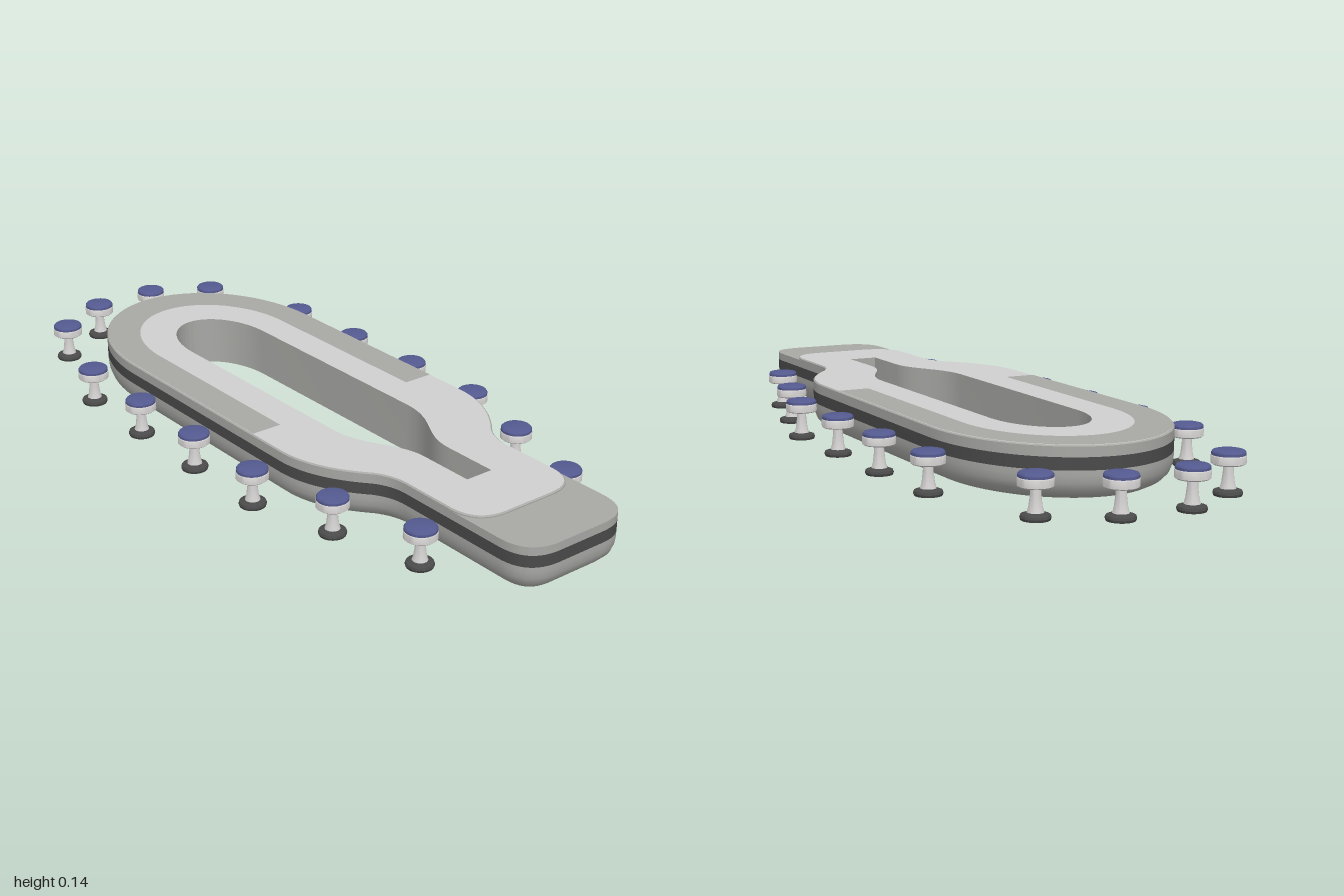
import * as THREE from 'three';
import { toCreasedNormals } from 'three/addons/utils/BufferGeometryUtils.js';

const mat = (name, color) => {
  const m = new THREE.MeshStandardMaterial({ color });
  m.name = name;
  return m;
};

// Mirrors a half outline (x >= 0, front to back) into a closed loop of (x, z) points
function mirrorLoop(path) {
  const half = path.getPoints(16);
  const other = half.slice(1, -1).reverse().map(p => new THREE.Vector2(-p.x, p.y));
  return half.concat(other);
}

// Counter plan: rounded front end, neck, shoulders, long sides, elliptical back
function counterOutline(end) {
  const p = new THREE.Path();
  p.moveTo(0, end);
  p.lineTo(0.07, end);
  p.quadraticCurveTo(0.17, end, 0.17, end - 0.1);
  p.lineTo(0.17, 0.58);
  p.quadraticCurveTo(0.17, 0.53, 0.2, 0.49);
  p.bezierCurveTo(0.265, 0.42, 0.305, 0.34, 0.305, 0.25);
  p.lineTo(0.305, -0.43);
  p.absellipse(0, -0.43, 0.305, 0.39, 0, -Math.PI / 2, true);
  return mirrorLoop(p);
}

// Keyhole-shaped opening in the middle
function holeOutline() {
  const p = new THREE.Path();
  p.moveTo(0, 0.655);
  p.lineTo(0.04, 0.655);
  p.lineTo(0.04, 0.5);
  p.bezierCurveTo(0.04, 0.4, 0.125, 0.36, 0.125, 0.24);
  p.lineTo(0.125, -0.4);
  p.absellipse(0, -0.4, 0.125, 0.19, 0, -Math.PI / 2, true);
  return mirrorLoop(p);
}

// Moves a loop inward along its normals
function inset(loop, d) {
  const n = loop.length;
  return loop.map((p, i) => {
    const a = p.clone().sub(loop[(i + n - 1) % n]).normalize();
    const b = loop[(i + 1) % n].clone().sub(p).normalize();
    const t = a.add(b).normalize();
    return new THREE.Vector2(p.x + t.y * d, p.y - t.x * d);
  });
}

// Wall through rings given as [height, inset]
function wall(loop, rings) {
  const n = loop.length, pos = [], idx = [];
  for (const [y, d] of rings) for (const p of inset(loop, d)) pos.push(p.x, y, p.y);
  for (let r = 0; r < rings.length - 1; r++) {
    for (let i = 0; i < n; i++) {
      const a = r * n + i, b = r * n + (i + 1) % n;
      idx.push(a, b, a + n, b, b + n, a + n);
    }
  }
  const g = new THREE.BufferGeometry();
  g.setAttribute('position', new THREE.Float32BufferAttribute(pos, 3));
  g.setIndex(idx);
  return toCreasedNormals(g, 0.6);
}

// Flat face with the opening cut out, facing up or down
function cap(loop, hole, y, up = true) {
  const s = up ? -1 : 1;
  const flip = pts => pts.map(p => new THREE.Vector2(p.x, s * p.y));
  const shape = new THREE.Shape(flip(loop));
  shape.holes.push(new THREE.Path(flip(hole)));
  return new THREE.ShapeGeometry(shape).rotateX(s * Math.PI / 2).translate(0, y, 0);
}

export function createModel() {
  const model = new THREE.Group();
  const light = mat('light countertop', 0xcfcfcf);
  const grey = mat('mid grey', 0xa8a8a5);
  const dark = mat('dark grey', 0x4a4a4a);
  const pale = mat('pale stool', 0xd4d1d1);
  const blue = mat('blue cushion', 0x545a90);
  const add = (name, geo, material, parent = model) => {
    const m = new THREE.Mesh(geo, material);
    m.name = name;
    parent.add(m);
    return m;
  };

  // Counter body with a rounded underside and a dark band round the outside
  const body = counterOutline(1), hole = holeOutline();
  add('counterLower', wall(body, [[0.003, 0.065], [0.007, 0.045], [0.017, 0.024],
    [0.032, 0.009], [0.05, 0.002], [0.068, 0], [0.081, 0]]), grey);
  add('counterBand', wall(body, [[0.081, 0], [0.112, 0]]), dark);
  add('counterUpper', wall(body, [[0.112, 0], [0.134, 0]]), grey);
  add('counterLedge', cap(body, hole, 0.134), grey);
  add('counterUnderside', cap(inset(body, 0.065), hole, 0.003, false), grey);
  add('openingWall', wall([...hole].reverse(), [[0.003, 0], [0.14, 0]]), grey);

  // Raised countertop, stopping short of the front ledge
  const slab = counterOutline(0.83);
  add('countertopEdge', wall(slab, [[0.134, 0], [0.137, 0], [0.14, 0.004]]), grey);
  add('countertop', cap(inset(slab, 0.004), hole, 0.14), light);

  // Darker serving strip round the back of the countertop
  const strip = new THREE.Shape();
  strip.moveTo(0.301, -0.135);
  strip.lineTo(0.301, 0.43);
  strip.absellipse(0, 0.43, 0.301, 0.386, 0, Math.PI, false);
  strip.lineTo(-0.301, -0.135);
  strip.lineTo(-0.215, -0.135);
  strip.lineTo(-0.215, 0.43);
  strip.absellipse(0, 0.43, 0.215, 0.28, Math.PI, 0, true);
  strip.lineTo(0.215, -0.135);
  add('servingStrip', new THREE.ShapeGeometry(strip, 24).rotateX(-Math.PI / 2)
    .translate(0, 0.141, 0), grey);

  // Stools: foot, tapered column, seat and cushion
  const lathe = pts => toCreasedNormals(
    new THREE.LatheGeometry(pts.map(p => new THREE.Vector2(...p)), 28), 0.6);
  const parts = [
    ['stoolFoot', lathe([[0, 0], [0.034, 0], [0.036, 0.006], [0.034, 0.012], [0.02, 0.017], [0, 0.018]]), dark],
    ['stoolColumn', lathe([[0.02, 0.016], [0.016, 0.03], [0.013, 0.055], [0.012, 0.077]]), pale],
    ['stoolSeat', lathe([[0, 0.075], [0.038, 0.075], [0.042, 0.078], [0.042, 0.096], [0.04, 0.099], [0, 0.099]]), pale],
    ['stoolCushion', lathe([[0.041, 0.098], [0.041, 0.104], [0.038, 0.108], [0.03, 0.11], [0, 0.111]]), blue],
  ];
  const spots = [[0.24, 0.715], [0.308, 0.47], [0.374, 0.23], [0.375, -0.027],
    [0.374, -0.285], [0.366, -0.545], [0.26, -0.867], [0.095, -0.958]];
  for (const [x, z] of spots) {
    for (const side of [-1, 1]) {
      const stool = new THREE.Group();
      stool.name = 'stool';
      for (const [name, geo, material] of parts) add(name, geo, material, stool);
      stool.position.set(side * x, 0, z);
      model.add(stool);
    }
  }
  return model;
}
